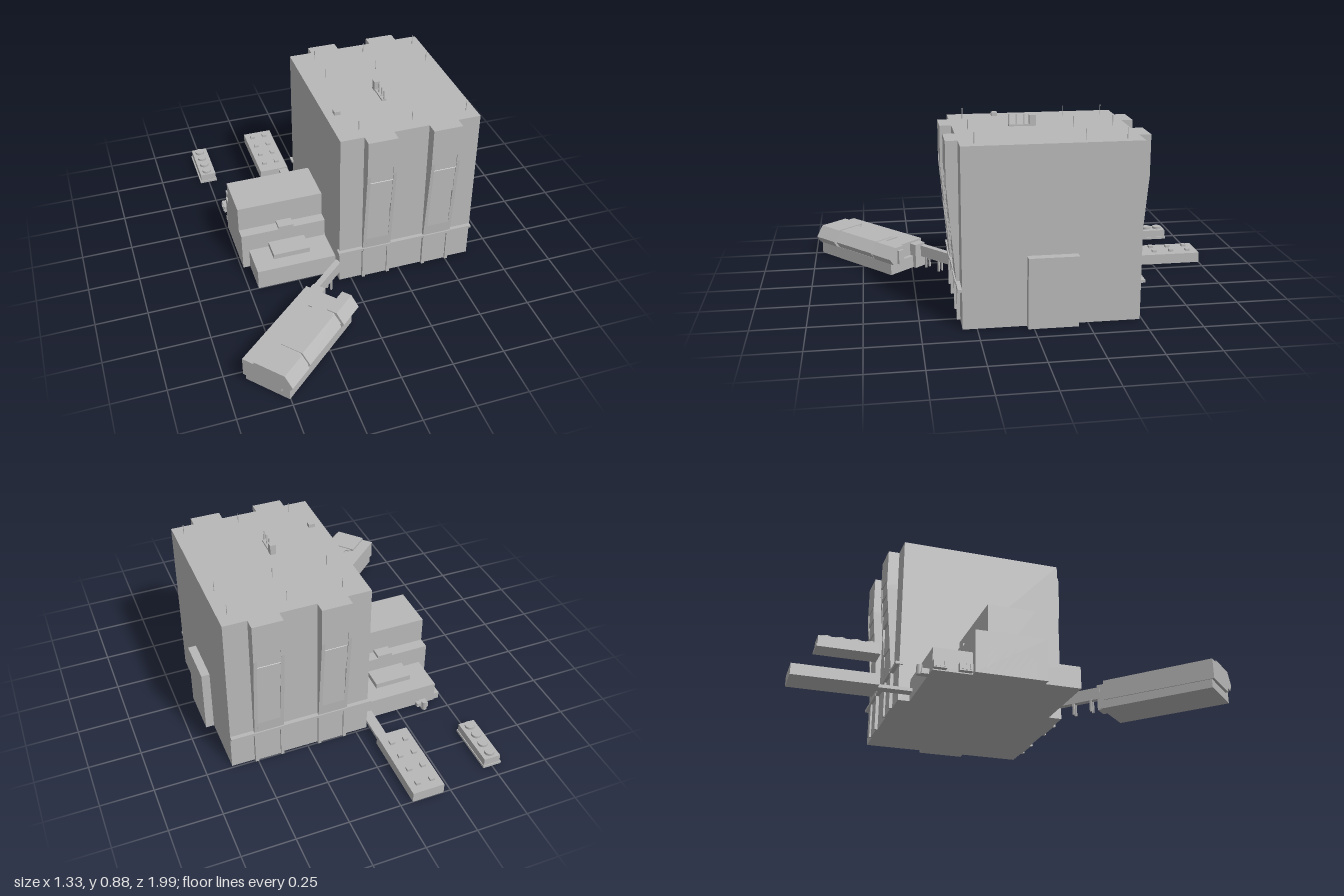
import * as THREE from 'three';

const concrete = new THREE.MeshStandardMaterial({ color: 0xb8b8b8 });
concrete.name = 'concrete grey';

function add(parent, name, geometry) {
  const mesh = new THREE.Mesh(geometry, concrete);
  mesh.name = name;
  parent.add(mesh);
  return mesh;
}

// Box given by its limits on each axis
function box(parent, name, x0, x1, y0, y1, z0, z1) {
  const g = new THREE.BoxGeometry(x1 - x0, y1 - y0, z1 - z0);
  g.translate((x0 + x1) / 2, (y0 + y1) / 2, (z0 + z1) / 2);
  return add(parent, name, g);
}

// Outline of [z, y] points carried along x
function prism(parent, name, x0, x1, points) {
  const shape = new THREE.Shape(points.map(([z, y]) => new THREE.Vector2(z, y)));
  const g = new THREE.ExtrudeGeometry(shape, { depth: x1 - x0, bevelEnabled: false });
  g.rotateY(-Math.PI / 2);
  g.translate(x1, 0, 0);
  return add(parent, name, g);
}

function cylinder(parent, name, r, h, x, y, z, sides = 16) {
  const g = new THREE.CylinderGeometry(r, r, h, sides);
  g.translate(x, y + h / 2, z);
  return add(parent, name, g);
}

const MID_Z = -0.0875;
// Mirrors half-depth [depth, y] points to the front and back of the hall
const mirrored = (half) => [
  ...half.map(([d, y]) => [MID_Z + d, y]),
  ...half.slice().reverse().map(([d, y]) => [MID_Z - d, y]),
];

function buildHall(root) {
  const hall = new THREE.Group();
  hall.name = 'mainHall';
  root.add(hall);
  box(hall, 'hallBody', -0.06, 0.625, 0, 0.83, -0.49, 0.315);

  // Ledge round the front and back
  box(hall, 'frontLedge', -0.07, 0.625, 0.175, 0.188, 0.3, 0.334);
  box(hall, 'backLedge', -0.07, 0.625, 0.175, 0.188, -0.51, -0.475);

  // Buttresses widening upward, with stepped panels between two side fins
  const face = (y) => 0.418 + 0.039 * THREE.MathUtils.clamp((y - 0.19) / 0.45, 0, 1);
  const fin = mirrored([[0.418, 0], [0.418, 0.19], [0.457, 0.64], [0.457, 0.83]]);
  const levels = [0.245, 0.31, 0.455, 0.525, 0.6, 0.675];
  const half = [[0.409, 0], [0.409, 0.186], [face(0.186), 0.186], [face(0.245), 0.245]];
  for (let i = 1; i < levels.length; i++) {
    const inner = Math.min(face(levels[i - 1]), face(levels[i]) - 0.005);
    half.push([inner, levels[i - 1] + 0.002], [inner, levels[i]], [face(levels[i]), levels[i]]);
  }
  half.push([0.457, 0.83]);
  for (const x of [0.054, 0.37]) {
    prism(hall, 'buttressFin', x, x + 0.016, fin);
    prism(hall, 'buttressPanels', x + 0.016, x + 0.127, mirrored(half));
    prism(hall, 'buttressFin', x + 0.127, x + 0.143, fin);
    box(hall, 'buttressLedge', x, x + 0.143, 0.175, 0.188, -0.512, 0.337);
  }
  box(hall, 'sideDoorBlock', 0.62, 0.665, 0, 0.33, -0.2, 0.027);

  // Roof equipment
  box(hall, 'roofHatch', -0.018, 0.012, 0.83, 0.848, 0.077, 0.105);
  box(hall, 'roofVent', 0.232, 0.26, 0.83, 0.88, -0.07, -0.04);
  box(hall, 'ventPlinth', 0.235, 0.257, 0.83, 0.838, -0.04, 0.055);
  for (const z of [-0.015, 0.02, 0.053]) box(hall, 'ventPipe', 0.243, 0.249, 0.83, 0.885, z - 0.003, z + 0.003);
  for (const x of [0.05, 0.31, 0.58])
    for (const z of [0.25, -0.235, -0.42]) cylinder(hall, 'roofMast', 0.0018, 0.05, x, 0.83, z, 5);
}

function buildWing(root) {
  const wing = new THREE.Group();
  wing.name = 'steppedWing';
  root.add(wing);
  box(wing, 'upperTier', -0.49, -0.06, 0, 0.33, -0.2, 0.027);
  box(wing, 'middleTier', -0.49, -0.06, 0, 0.2, -0.255, 0.08);
  box(wing, 'lowerTier', -0.455, -0.06, 0, 0.105, -0.435, 0.25);
  // Roof boxes on both sides of the upper tier
  for (const s of [-1, 1]) {
    const near = MID_Z + s * 0.11, mid = MID_Z + s * 0.168, far = MID_Z + s * 0.27;
    box(wing, 'middleRoofBox', -0.3, -0.223, 0.19, 0.215, Math.min(near, mid), Math.max(near, mid));
    box(wing, 'lowerRoofBox', -0.355, -0.17, 0.1, 0.132, Math.min(mid, far), Math.max(mid, far));
  }
  // Cooling units and pump outside the back corner
  for (const z of [-0.435, -0.32]) {
    box(wing, 'coolingUnit', -0.48, -0.455, 0.005, 0.04, z, z + 0.06);
    for (const k of [0.012, 0.03, 0.048]) box(wing, 'coolingFin', -0.484, -0.48, 0.01, 0.035, z + k - 0.004, z + k + 0.004);
  }
  cylinder(wing, 'pumpTank', 0.014, 0.045, -0.382, 0, -0.473);
  box(wing, 'pumpBase', -0.405, -0.368, 0, 0.025, -0.47, -0.435);
  box(wing, 'pumpArm', -0.38, -0.345, 0.015, 0.035, -0.47, -0.448);
}

function buildYard(root) {
  const yard = new THREE.Group();
  yard.name = 'backYard';
  root.add(yard);
  // Long low block with vents and a passage to the hall
  box(yard, 'lowBlock', -0.215, -0.06, 0, 0.052, -1.0, -0.61);
  box(yard, 'passage', -0.11, -0.06, 0.03, 0.046, -0.62, -0.43);
  for (const x of [-0.175, -0.105])
    for (const z of [-0.95, -0.86, -0.77, -0.68]) box(yard, 'blockVent', x - 0.012, x + 0.012, 0.05, 0.064, z - 0.011, z + 0.011);
  // Fan bank
  box(yard, 'fanBank', -0.541, -0.459, 0, 0.05, -0.935, -0.683);
  box(yard, 'fanBankBase', -0.547, -0.455, 0, 0.012, -0.94, -0.678);
  for (const z of [-0.9, -0.84, -0.777, -0.715]) cylinder(yard, 'fan', 0.024, 0.012, -0.502, 0.05, z, 20);
}

function buildAnnex(root) {
  const annex = new THREE.Group();
  annex.name = 'angledAnnex';
  annex.position.set(-0.367, 0, 0.705);
  annex.rotation.y = 0.722;
  root.add(annex);
  box(annex, 'annexBase', -0.275, 0.265, 0, 0.062, -0.125, 0.105);
  box(annex, 'annexBody', -0.2875, 0.245, 0.04, 0.135, -0.13, 0.07);
  // Faceted roof, set back along its middle
  const roof = (inset, back) => [
    [back, 0.06], [0.108 - inset, 0.06], [0.13 - inset, 0.093],
    [0.09 - inset, 0.147 - inset * 0.3], [back, 0.147 - inset * 0.3],
  ];
  prism(annex, 'roofEnd', -0.2875, -0.15, roof(0, -0.07));
  prism(annex, 'roofGroove', -0.15, -0.135, roof(0.016, -0.05));
  prism(annex, 'roofMiddle', -0.135, 0.135, roof(0.006, -0.03));
  prism(annex, 'roofGroove', 0.135, 0.15, roof(0.016, -0.05));
  prism(annex, 'roofEnd', 0.15, 0.2875, roof(0, 0.04));
  box(annex, 'annexPorch', 0.24, 0.285, 0, 0.125, -0.115, -0.05);
  box(annex, 'annexSideBay', 0.24, 0.3, 0.06, 0.13, 0.045, 0.08);
  // Raised bridge to the hall, on legs
  box(annex, 'bridge', 0.27, 0.5, 0.055, 0.113, -0.117, -0.087);
  for (const x of [0.32, 0.41])
    for (const z of [-0.114, -0.09]) box(annex, 'bridgeLeg', x - 0.005, x + 0.005, 0, 0.06, z - 0.004, z + 0.004);
}

export function createModel() {
  const root = new THREE.Group();
  root.name = 'industrialComplex';
  buildHall(root);
  buildWing(root);
  buildYard(root);
  buildAnnex(root);
  return root;
}
